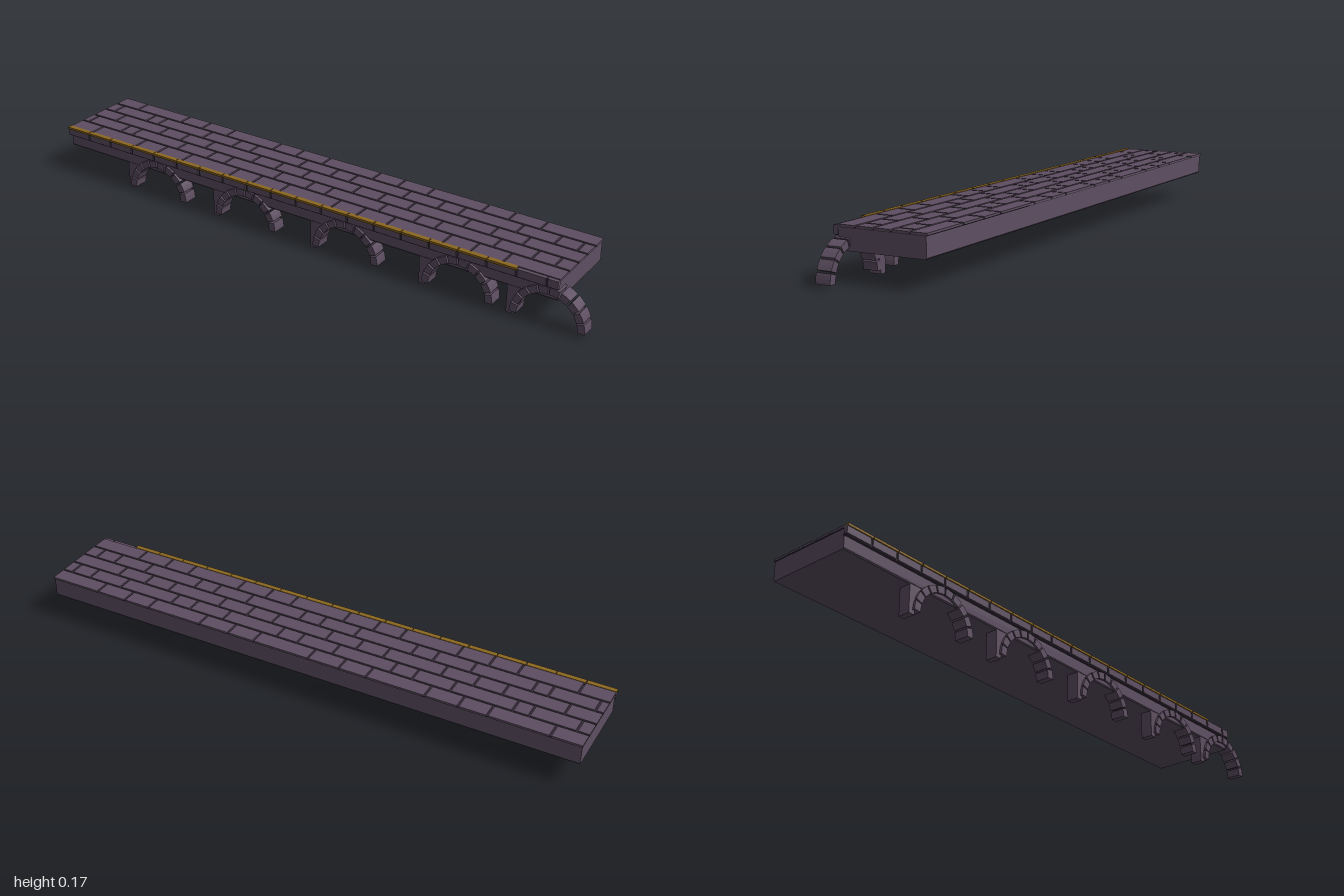
import * as THREE from 'three';

const material = (name, color) => {
  const m = new THREE.MeshStandardMaterial({ color });
  m.name = name;
  return m;
};

export function createModel() {
  const stone = material('stone', 0x5d4e61);
  const grout = material('dark grout', 0x372c3a);
  const gold = material('gold trim', 0x8c671f);
  const model = new THREE.Group();
  model.name = 'stoneWalkway';

  // Axis-aligned box given by its limits
  const block = (parent, name, mat, x0, x1, y0, y1, z0, z1) => {
    const mesh = new THREE.Mesh(new THREE.BoxGeometry(x1 - x0, y1 - y0, z1 - z0), mat);
    mesh.position.set((x0 + x1) / 2, (y0 + y1) / 2, (z0 + z1) / 2);
    mesh.name = name;
    parent.add(mesh);
  };
  const group = (name) => {
    const g = new THREE.Group();
    g.name = name;
    model.add(g);
    return g;
  };

  const left = -1, right = 0.905, gap = 0.007;

  // Solid deck with lightly chamfered long edges
  const s = new THREE.Shape([
    [-0.14, 0.096], [-0.14, 0.158], [0.153, 0.158], [0.153, 0.096], [0.15, 0.092], [-0.137, 0.092],
  ].map(([a, b]) => new THREE.Vector2(a, b)));
  const deckGeo = new THREE.ExtrudeGeometry(s, { depth: right - left - 0.004, bevelEnabled: false });
  deckGeo.rotateY(Math.PI / 2);
  deckGeo.translate(left + 0.002, 0, 0);
  const deck = new THREE.Mesh(deckGeo, stone);
  deck.name = 'deck';
  model.add(deck);
  block(model, 'pavingBed', grout, left + 0.001, right - 0.001, 0.157, 0.1615, -0.155, 0.14);

  // Paving in five rows, each with its own repeating joints
  const paving = group('paving');
  const wide = [0.2, 0.095, 0.11], mixed = [0.204, 0.128, 0.075];
  const rows = [
    [-0.9, wide], [-0.96, mixed], [-0.9, wide], [-0.975, mixed], [-0.9, wide],
  ];
  rows.forEach(([start, steps], r) => {
    const joints = [left];
    let x = start;
    // The mixed rows open with a short and a medium stone
    if (steps === mixed) {
      joints.push(x, x + 0.15);
      x += 0.203;
    }
    for (let i = 0; x < right - 0.02; x += steps[i++ % 3]) joints.push(x);
    joints.push(right);
    const z0 = r === 0 ? -0.157 : -0.1 + (r - 1) * 0.06 + gap / 2;
    const z1 = r === 4 ? 0.14 : -0.1 + r * 0.06 - gap / 2;
    for (let i = 0; i < joints.length - 1; i++) {
      const a = joints[i] + (i ? gap / 2 : 0);
      const b = joints[i + 1] - (i < joints.length - 2 ? gap / 2 : 0);
      block(paving, 'pavingStone', stone, a, b, 0.159, 0.166, z0, z1);
    }
  });

  // Front kerb stones and the gold strip over them
  const kerb = group('kerb');
  block(kerb, 'kerbBed', grout, left + 0.001, right - 0.001, 0.134, 0.162, 0.138, 0.149);
  const pitch = 0.0985;
  for (let x = left; x < right - 0.02; x += pitch) {
    const end = Math.min(x + pitch - gap, right);
    block(kerb, 'kerbStone', stone, x, end, 0.137, 0.163, 0.139, 0.153);
    if (x < 0.75) block(kerb, 'goldTrim', gold, x, Math.min(x + pitch - 0.003, 0.82), 0.16, 0.1675, 0.14, 0.157);
  }

  // Arches: ten wedge stones each, with a corbelled post at the left
  const outer = 0.123, inner = 0.099, base = 0.01;
  const sector = Math.PI / 10, slack = 0.025;
  const wedge = new THREE.Shape();
  wedge.absarc(0, 0, outer, slack, sector - slack, false);
  wedge.absarc(0, 0, inner, sector - slack, slack, true);
  wedge.closePath();
  const wedgeGeo = new THREE.ExtrudeGeometry(wedge, { depth: 0.05, bevelEnabled: false, curveSegments: 2 });

  const post = new THREE.Shape();
  post.moveTo(-0.137, -base);
  post.lineTo(-0.115, -base);
  post.lineTo(-0.115, 0);
  post.absarc(0, 0, 0.115, Math.PI, Math.PI * 0.69, true);
  post.lineTo(-0.137, 0.093);
  post.closePath();
  const postGeo = new THREE.ExtrudeGeometry(post, { depth: 0.041, bevelEnabled: false, curveSegments: 8 });

  [-0.602, -0.228, 0.167, 0.573, 0.875].forEach((x) => {
    const arch = group('arch');
    arch.position.set(x, base, 0.098);
    for (let i = 0; i < 10; i++) {
      const v = new THREE.Mesh(wedgeGeo, stone);
      v.rotation.z = i * sector;
      v.name = 'archStone';
      arch.add(v);
    }
    const p = new THREE.Mesh(postGeo, stone);
    p.name = 'archPost';
    arch.add(p);
  });

  return model;
}
